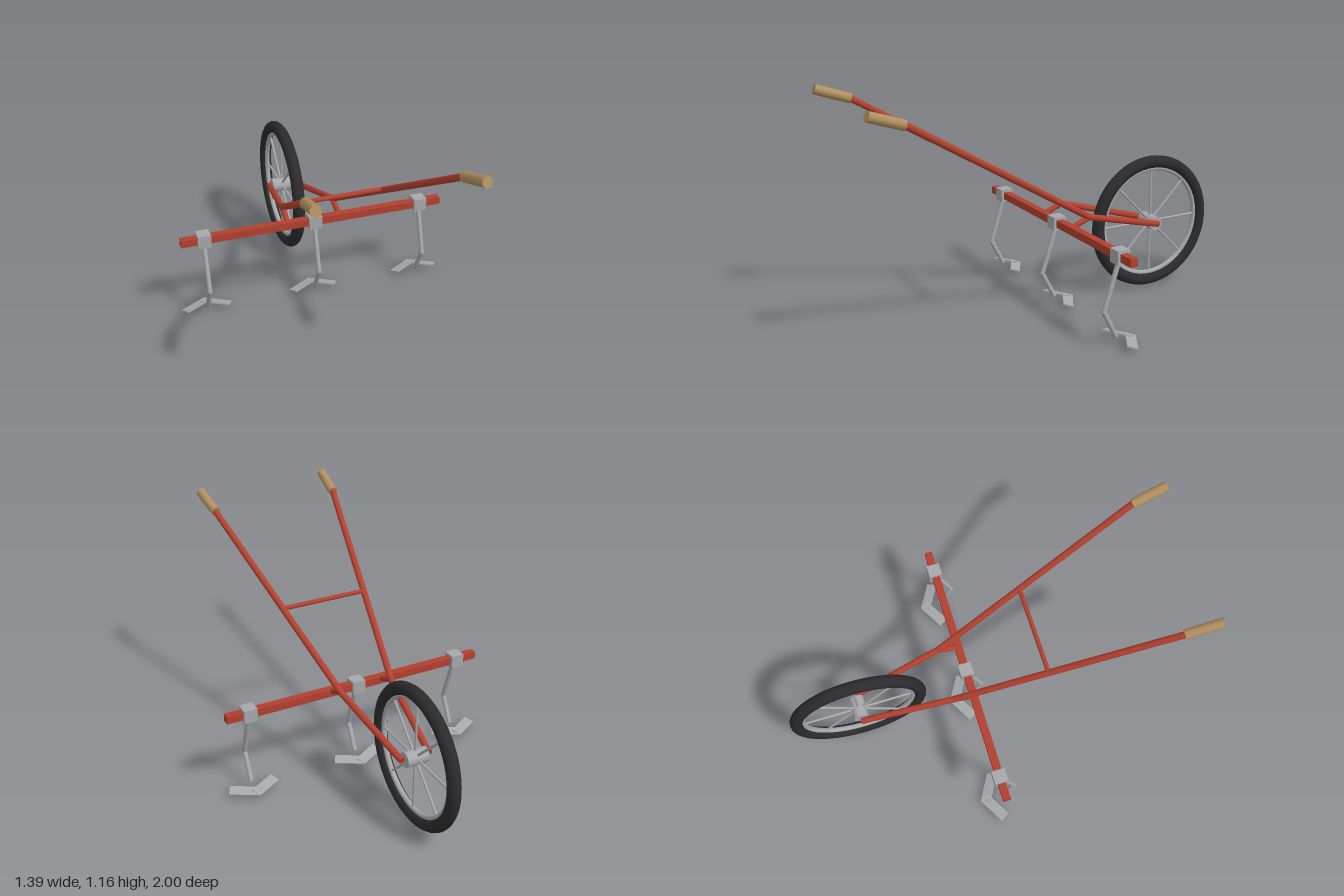
import * as THREE from 'three';

const mat = (name, color) => new THREE.MeshStandardMaterial({ name, color });

export function createModel() {
  const red = mat('red paint', 0xb3402f);
  const steel = mat('steel', 0xa6a8ab);
  const rubber = mat('black rubber', 0x2b2b2d);
  const wood = mat('wood', 0xb09060);

  const root = new THREE.Group();
  root.name = 'wheelCultivator';

  const add = (parent, name, geometry, material, x = 0, y = 0, z = 0) => {
    const mesh = new THREE.Mesh(geometry, material);
    mesh.name = name;
    mesh.position.set(x, y, z);
    parent.add(mesh);
    return mesh;
  };

  // Round bar between two points
  const up = new THREE.Vector3(0, 1, 0);
  const rod = (parent, name, a, b, radius, material) => {
    const start = new THREE.Vector3(...a);
    const dir = new THREE.Vector3(...b).sub(start);
    const mesh = add(parent, name, new THREE.CylinderGeometry(radius, radius, dir.length(), 16), material);
    mesh.position.copy(start).addScaledVector(dir, 0.5);
    mesh.quaternion.setFromUnitVectors(up, dir.normalize());
    return mesh;
  };

  // Wheel, built in the xy plane and turned to roll along z
  const wheel = new THREE.Group();
  wheel.name = 'wheel';
  wheel.position.set(0, 0.35, -0.648);
  wheel.rotation.y = Math.PI / 2;
  root.add(wheel);
  add(wheel, 'tire', new THREE.TorusGeometry(0.318, 0.032, 16, 64), rubber);
  add(wheel, 'rim', new THREE.TorusGeometry(0.284, 0.013, 12, 64), steel);
  add(wheel, 'hub', new THREE.CylinderGeometry(0.037, 0.037, 0.11, 24), steel).rotation.x = Math.PI / 2;
  for (let i = 0; i < 8; i++) {
    const a = (i * Math.PI) / 4;
    rod(wheel, 'spoke', [0, 0, 0], [0.28 * Math.cos(a), 0.28 * Math.sin(a), 0], 0.006, steel);
  }

  // Fork, handle, grip and toolbar bracket on each side
  for (const s of [-1, 1]) {
    const joint = [s * 0.135, 0.477, -0.19];
    const top = [s * 0.337, 1.08, 0.825];
    rod(root, 'forkArm', [s * 0.07, 0.352, -0.65], joint, 0.016, red);
    rod(root, 'handle', joint, top, 0.016, red);
    add(root, 'elbow', new THREE.SphereGeometry(0.016, 16, 12), red, ...joint);
    rod(root, 'grip', top, [s * 0.351, 1.135, 0.99], 0.024, wood);
    rod(root, 'toolbarBracket', joint, [s * 0.135, 0.435, -0.085], 0.014, red);
  }
  rod(root, 'handleCrossbar', [-0.22, 0.747, 0.255], [0.22, 0.747, 0.255], 0.011, red);

  // Square toolbar
  add(root, 'toolbar', new THREE.BoxGeometry(1.36, 0.038, 0.038), red, 0, 0.432, -0.085);

  // Three tines: clamp, bent shank and a two-winged sweep
  for (const x of [-0.566, 0, 0.566]) {
    const tine = new THREE.Group();
    tine.name = 'tine';
    tine.position.x = x;
    root.add(tine);
    add(tine, 'clamp', new THREE.BoxGeometry(0.066, 0.066, 0.066), steel, 0, 0.432, -0.085);
    const bend = [0, 0.174, -0.004];
    rod(tine, 'upperShank', [0, 0.42, -0.083], bend, 0.012, steel);
    rod(tine, 'lowerShank', bend, [0, 0.042, -0.072], 0.012, steel);
    add(tine, 'shankBend', new THREE.SphereGeometry(0.012, 16, 12), steel, ...bend);
    for (const s of [-1, 1]) {
      const wing = add(tine, 'sweepWing', new THREE.BoxGeometry(0.15, 0.007, 0.052), steel, s * 0.053, 0.029, -0.122);
      wing.rotation.set(-0.26, -s * 0.52, 0, 'YXZ');
    }
  }
  return root;
}
